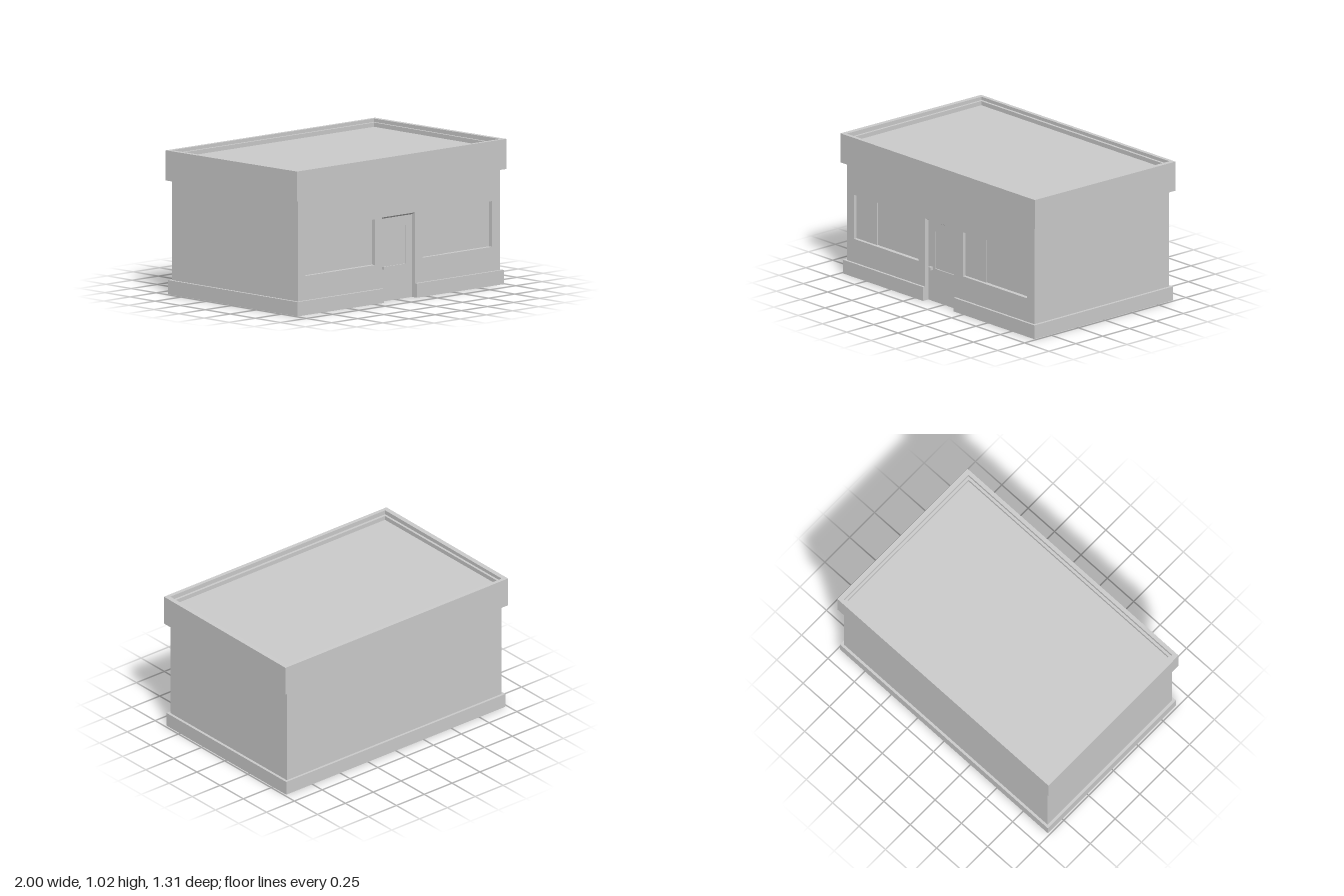
import * as THREE from 'three';

const material = new THREE.MeshStandardMaterial({ color: 0xcccccc, flatShading: true });

// Closed rectangle outline, usable as shape or hole
function rect(x0, y0, x1, y1, Type = THREE.Shape) {
  const points = [[x0, y0], [x1, y0], [x1, y1], [x0, y1]].map(p => new THREE.Vector2(...p));
  return new Type(points);
}

const extrude = (shape, depth) =>
  new THREE.ExtrudeGeometry(shape, { depth, bevelEnabled: false });

// Upright panel spanning z0 to z1
const panel = (shape, z0, z1) => extrude(shape, z1 - z0).translate(0, 0, z0);

// Plan outline (drawn with y = -z) raised from y0 to y1
const raise = (shape, y0, y1) => extrude(shape, y1 - y0).rotateX(-Math.PI / 2).translate(0, y0, 0);

// Rectangular ring lying flat
function ring(outX, outZ, inX, inZ, y0, y1) {
  const shape = rect(-outX, -outZ, outX, outZ);
  shape.holes.push(rect(-inX, -inZ, inX, inZ, THREE.Path));
  return raise(shape, y0, y1);
}

export function createModel() {
  const model = new THREE.Group();
  const add = (name, geometry, parent = model) => {
    const mesh = new THREE.Mesh(geometry, material);
    mesh.name = name;
    parent.add(mesh);
    return mesh;
  };

  const wallX = 0.965, wallZ = 0.627, backing = 0.587;
  const doorL = -0.16, doorR = 0.155, doorTop = 0.595;
  const winBottom = 0.27, winTop = 0.59;
  const windows = [['rightWindow', -0.89, -0.228], ['leftWindow', 0.228, 0.89]];

  // Plinth with a notch at the doorway
  const plinth = new THREE.Shape([
    [-0.985, -0.645], [doorL, -0.645], [doorL, -backing], [doorR, -backing],
    [doorR, -0.645], [0.985, -0.645], [0.985, 0.645], [-0.985, 0.645],
  ].map(p => new THREE.Vector2(...p)));
  add('plinth', raise(plinth, 0, 0.1));

  // Main block, its top forming the flat roof
  add('body', raise(rect(-wallX, -backing, wallX, wallZ), 0.05, 0.955));

  // Front wall with window openings and doorway
  const front = new THREE.Shape([
    [-wallX, 0.05], [doorL, 0.05], [doorL, doorTop], [doorR, doorTop],
    [doorR, 0.05], [wallX, 0.05], [wallX, 0.955], [-wallX, 0.955],
  ].map(p => new THREE.Vector2(...p)));
  for (const [, x0, x1] of windows) {
    front.holes.push(rect(x0, winBottom, x1, winTop, THREE.Path));
  }
  add('frontWall', panel(front, backing, wallZ));

  // Sliding windows: narrow pane in front, wide pane behind
  for (const [name, x0, x1] of windows) {
    const group = new THREE.Group();
    group.name = name;
    const split = x0 + 0.21;
    add('frontPane', panel(rect(x0, winBottom, split, winTop), backing, 0.603), group);
    add('rearPane', panel(rect(split, winBottom, x1, winTop), backing, 0.596), group);
    model.add(group);
  }

  // Door with a shallow recessed panel, knob and sloping soffit
  const door = new THREE.Group();
  door.name = 'door';
  const leaf = rect(doorL, 0, doorR, doorTop);
  leaf.holes.push(rect(-0.095, 0.24, 0.1, 0.51, THREE.Path));
  add('doorLeaf', panel(leaf, backing, 0.595), door);
  add('doorKnob', new THREE.BoxGeometry(0.022, 0.022, 0.025).translate(-0.125, 0.237, 0.606), door);
  const wedge = new THREE.Shape([
    [backing, 0.575], [wallZ, doorTop], [backing, doorTop],
  ].map(p => new THREE.Vector2(...p)));
  add('doorSoffit', extrude(wedge, doorR - doorL).rotateY(-Math.PI / 2).translate(doorR, 0, 0), door);
  model.add(door);

  // Ledge around the roof
  add('roofLedge', ring(wallX, wallZ, 0.948, 0.609, 0.95, 0.985));

  // Overhanging parapet, rising slightly toward the front
  const parapet = ring(1, 0.655, wallX, wallZ, 0.801, 1.012);
  const pos = parapet.attributes.position;
  for (let i = 0; i < pos.count; i++) {
    pos.setY(i, pos.getY(i) + 0.006 * pos.getZ(i));
  }
  parapet.computeVertexNormals();
  add('parapet', parapet);

  return model;
}
